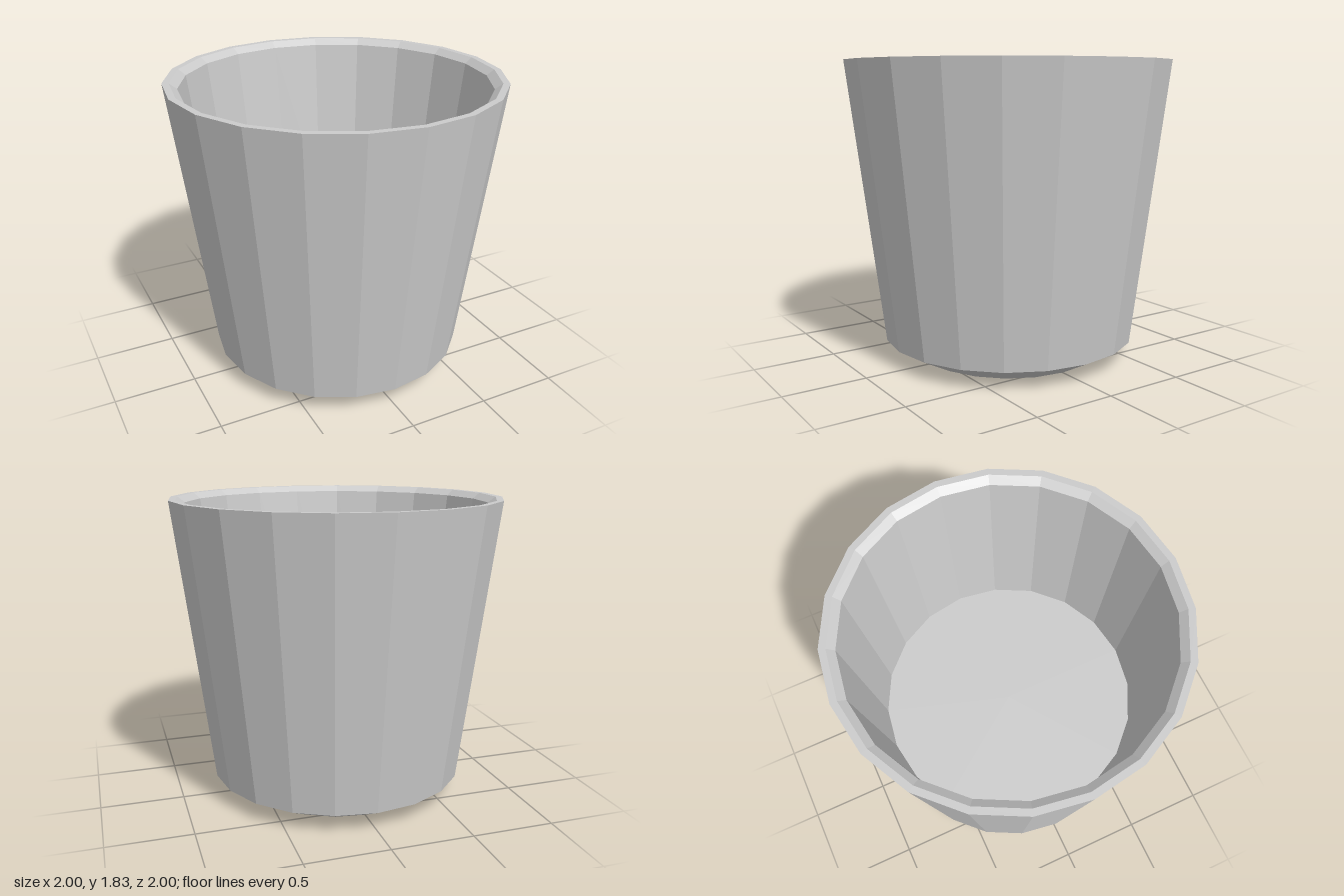
import * as THREE from 'three';

export function createModel() {
  const group = new THREE.Group();
  const SIDES = 20;
  const material = new THREE.MeshStandardMaterial({ color: 0xcccccc, flatShading: true });

  // Each part is a faceted ring or disc turned from a short [radius, height] profile
  const turned = (name, profile) => {
    const points = profile.map(([r, y]) => new THREE.Vector2(r, y));
    const mesh = new THREE.Mesh(new THREE.LatheGeometry(points, SIDES), material);
    mesh.name = name;
    group.add(mesh);
  };

  // Outside: base, chamfer and flared wall
  turned('potBody', [[0, 0], [0.57, 0], [0.785, 0.115], [1, 1.83]]);

  // Flat lip with a bevelled inner edge
  turned('rim', [[1, 1.83], [0.96, 1.83], [0.915, 1.795]]);

  // Inner wall, parallel to the outside
  turned('innerWall', [[0.915, 1.795], [0.785, 0.75]]);

  // Flat surface closing the inside
  turned('innerFloor', [[0.785, 0.75], [0, 0.75]]);

  return group;
}
